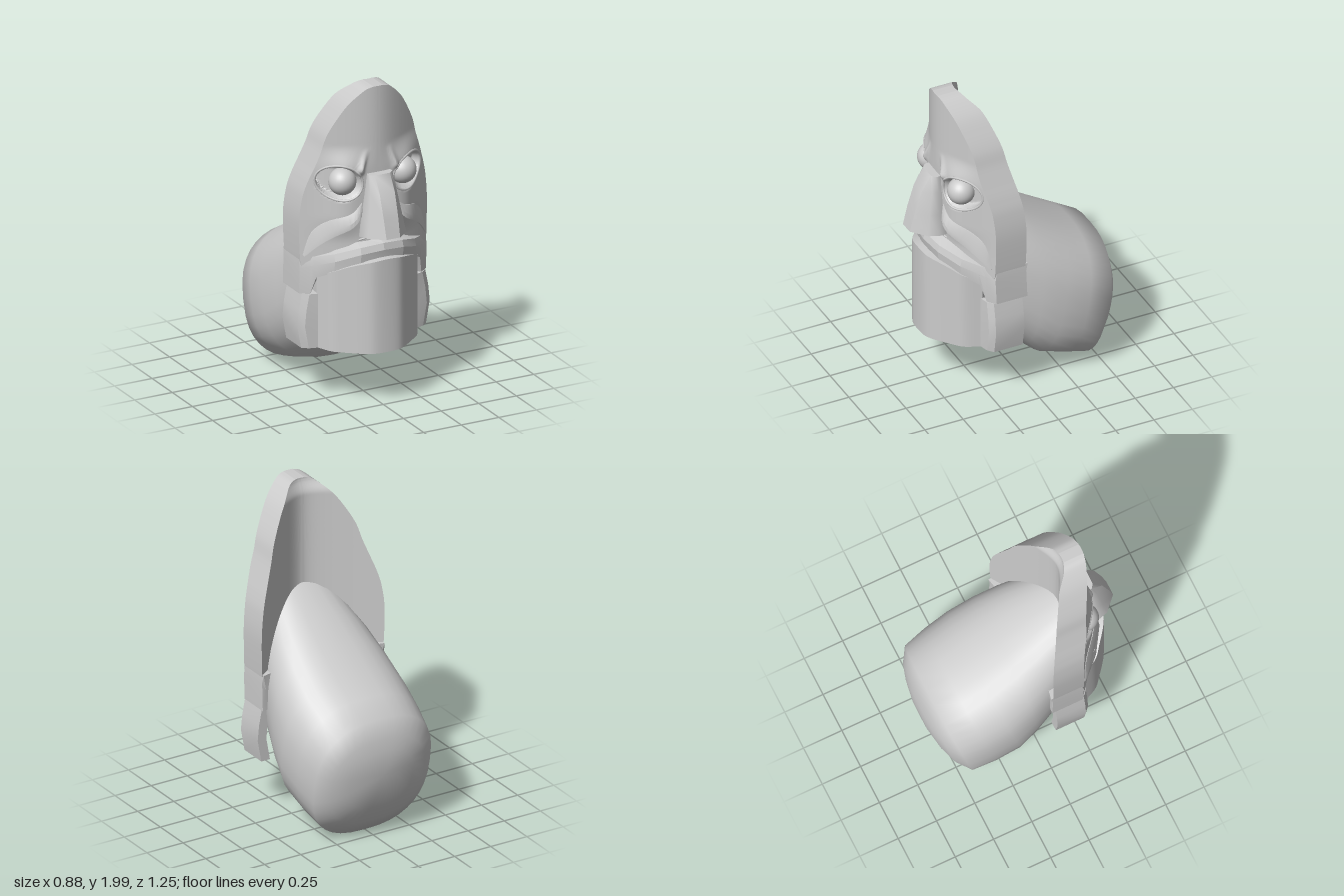
import * as THREE from 'three';
import { toCreasedNormals } from 'three/addons/utils/BufferGeometryUtils.js';

const grey = new THREE.MeshStandardMaterial({ color: 0xcccccc });
const V = (x, y, z) => new THREE.Vector3(x, y, z);
const spline = pts => new THREE.SplineCurve(pts.map(p => new THREE.Vector2(...p)));
const { smoothstep, clamp } = THREE.MathUtils;

// Solid skin over a row of closed rings (equal point counts), capped at both ends.
function loft(rings, crease = 0.5) {
  const n = rings[0].length, tris = [];
  const centre = r => r.reduce((s, p) => s.add(p), V(0, 0, 0)).divideScalar(n);
  for (let i = 0; i + 1 < rings.length; i++) {
    for (let j = 0; j < n; j++) {
      const k = (j + 1) % n, a = rings[i][j], b = rings[i][k], c = rings[i + 1][k], d = rings[i + 1][j];
      tris.push([a, b, c], [a, c, d]);
    }
  }
  const first = rings[0], last = rings[rings.length - 1], cf = centre(first), cl = centre(last);
  for (let j = 0; j < n; j++) {
    const k = (j + 1) % n;
    tris.push([cf, first[k], first[j]], [cl, last[j], last[k]]);
  }
  // Turn all faces outwards, whatever way the rings run
  let volume = 0;
  for (const [a, b, c] of tris) volume += a.dot(b.clone().cross(c));
  const pts = tris.flatMap(([a, b, c]) => (volume > 0 ? [a, b, c] : [a, c, b]));
  return toCreasedNormals(new THREE.BufferGeometry().setFromPoints(pts), crease);
}

const mirrorX = rings => rings.map(r => r.map(p => V(-p.x, p.y, p.z)));

// Plan curves of the mask, bent round the face
const backZ = (x, y) => 0.34 - Math.hypot(0.06, 0.67 * x) + 0.03 * smoothstep(y, 1.9, 2);
const plainZ = x => 0.56 - Math.hypot(0.12, 0.68 * x);

// Face surface without sockets: fuller brow and cheeks, with a frown ridge
function faceZ(x, y) {
  const ax = Math.abs(x);
  const full = 0.04 * Math.exp(-(((ax - 0.21) / 0.11) ** 2)) * (1 - smoothstep(y, 1.48, 1.64)) * smoothstep(y, 1.02, 1.2);
  const t = clamp((1.61 - y) / 0.12, 0, 1);
  const ridge = 0.025 * t * smoothstep(y, 1.44, 1.49) * Math.exp(-(((ax - 0.075 - 0.04 * t) / 0.018) ** 2));
  return plainZ(x) + full + ridge;
}

// Eye socket outline, tilted a little
const eye = { x: 0.225, y: 1.41, rx: 0.125, ry: 0.108 };
function frontZ(x, y) {
  const dx = Math.abs(x) - eye.x;
  const e = Math.hypot(dx / eye.rx, (y - eye.y - 0.1 * dx) / eye.ry);
  return faceZ(x, y) - 0.075 * (1 - smoothstep(e, 0.72, 1.0));
}

function maskGeometry() {
  const outline = spline([
    [0.41, 0.85], [0.42, 0.93], [0.425, 1.15], [0.41, 1.3], [0.385, 1.4], [0.35, 1.5], [0.315, 1.6],
    [0.285, 1.7], [0.235, 1.8], [0.17, 1.9], [0.085, 1.98], [0.03, 2],
  ]);
  const cols = 84;
  const rings = outline.getPoints(100).map(({ x: w, y }) => {
    const front = [], back = [];
    for (let i = 0; i <= cols; i++) {
      const x = w * (2 * i / cols - 1);
      front.push(V(x, y, frontZ(x, y)));
      back.unshift(V(x, y, backZ(x, y)));
    }
    return [...front, ...back];
  });
  return loft(rings, 0.8);
}

// Rounded lobe: each row is [top z, top y, bottom z, bottom y, half width]
function headGeometry() {
  const rows = [
    [0.29, 1.34, 0.23, 0.36, 0.31], [0.06, 1.19, 0.08, 0.28, 0.38], [-0.1, 1.08, -0.02, 0.19, 0.415],
    [-0.28, 0.96, -0.11, 0.11, 0.435], [-0.43, 0.87, -0.27, 0.055, 0.425], [-0.57, 0.79, -0.41, 0.01, 0.4],
    [-0.605, 0.67, -0.5, 0.11, 0.32], [-0.62, 0.6, -0.56, 0.22, 0.22], [-0.625, 0.52, -0.605, 0.36, 0.1],
  ];
  const sides = 36, square = v => Math.sign(v) * Math.abs(v) ** 0.79;
  return loft(rows.map(([tz, ty, bz, by, w]) => Array.from({ length: sides }, (_, i) => {
    const a = i / sides * Math.PI * 2, t = 0.5 + 0.5 * square(Math.cos(a));
    return V(w * square(Math.sin(a)), by + (ty - by) * t, bz + (tz - bz) * t);
  })), 1.4);
}

// Frowning lip band: [x, front z, inner x, inner z, inner top y, crest y, ridge y, bottom y]
function lipGeometry() {
  const half = [
    [0, 0.515, 0, 0.38, 1.065, 1.03, 0.99, 0.94], [0.14, 0.49, 0.12, 0.36, 1.04, 1.015, 0.975, 0.91],
    [0.27, 0.405, 0.22, 0.3, 0.99, 0.97, 0.925, 0.855], [0.345, 0.32, 0.28, 0.24, 0.95, 0.94, 0.89, 0.81],
    [0.37, 0.29, 0.31, 0.2, 0.935, 0.935, 0.88, 0.7], [0.422, 0.25, 0.33, 0.17, 0.93, 0.93, 0.86, 0.7],
    [0.422, 0.05, 0.36, 0.05, 0.93, 0.93, 0.88, 0.7],
  ];
  const all = [...half.slice(1).reverse().map(([x, z, ix, ...r]) => [-x, z, -ix, ...r]), ...half];
  return loft(all.map(([x, z, ix, iz, it, c, r, b]) =>
    [V(x * 0.99, c, z - 0.012), V(x, r, z), V(x, b, z - 0.008), V(ix, b, iz), V(ix, it, iz)]), 0.35);
}

// Curved chin plate, hollow behind, its top following the lip
function chinGeometry() {
  const plan = spline([
    [-0.33, 0.29], [-0.285, 0.39], [-0.22, 0.45], [-0.13, 0.52], [-0.06, 0.548],
    [0.06, 0.548], [0.13, 0.52], [0.22, 0.45], [0.285, 0.39], [0.33, 0.29],
  ]);
  return loft(plan.getPoints(40).map(({ x, y: z }) => {
    const top = 0.945 - 1.05 * x * x, ix = x * 0.88, iz = z - 0.045;
    return [V(x, top, z), V(x, 0.36, z), V(ix, 0.36, iz), V(ix, top, iz)];
  }), 0.5);
}

// Bowed jaw guard at the side of the chin
function jawRings() {
  return [[0.7, 0.41], [0.6, 0.43], [0.5, 0.44], [0.36, 0.415]].map(([y, w]) => [
    V(w - 0.06, y, 0.07), V(w, y, 0.07), V(w, y, 0.255), V(w - 0.035, y, 0.285), V(0.325, y, 0.3), V(0.325, y, 0.2),
  ]);
}

// Wedge nose: [y, side x, side z, corner x, corner z, front x, front z, drop of the underside]
function noseGeometry() {
  const rows = [
    [1.46, 0.08, 0.45, 0.075, 0.47, 0.05, 0.49, 0], [1.36, 0.097, 0.46, 0.087, 0.5, 0.05, 0.55, 0],
    [1.22, 0.122, 0.47, 0.108, 0.525, 0.048, 0.595, 0], [1.1, 0.146, 0.475, 0.128, 0.545, 0.045, 0.625, 0.04],
  ];
  return loft(rows.map(([y, sx, sz, cx, cz, fx, fz, drop]) => {
    const half = [V(fx, y, fz), V(cx, y - drop * 0.15, cz), V(sx, y - drop * 0.3, sz), V(sx * 0.75, y - drop, 0.4)];
    return [...half, ...mirrorX([half])[0].reverse()];
  }), 0.75);
}

// Tapering cheek fold from beside the nose to the corner of the mouth
function foldRings() {
  const upper = spline([[0.11, 1.28], [0.17, 1.22], [0.28, 1.175], [0.365, 1.09], [0.407, 0.945]]);
  const lower = spline([[0.11, 1.21], [0.17, 1.145], [0.265, 1.085], [0.345, 1.015], [0.402, 0.94]]);
  return Array.from({ length: 17 }, (_, i) => {
    const t = i / 16, u = upper.getPoint(t), l = lower.getPoint(t);
    const m = u.clone().lerp(l, 0.6), h = 0.012 + 0.038 * Math.sin(Math.PI * t);
    const at = (p, lift) => V(p.x, p.y, faceZ(p.x, p.y) + lift);
    return [at(u, -0.03), at(u, 0.004), at(m, h * 0.8), at(l, h), at(l, -0.03)];
  });
}

// Thin lid running round the socket
function lidGeometry(side) {
  const pts = Array.from({ length: 28 }, (_, i) => {
    const a = i / 28 * Math.PI * 2, dx = eye.rx * Math.cos(a);
    const x = eye.x + dx, y = eye.y + 0.1 * dx + eye.ry * Math.sin(a);
    return V(side * x, y, faceZ(x, y) - 0.004);
  });
  return new THREE.TubeGeometry(new THREE.CatmullRomCurve3(pts, true), 56, 0.008, 6, true);
}

export function createModel() {
  const model = new THREE.Group();
  model.name = 'maskedHead';
  const add = (name, geometry) => {
    const mesh = new THREE.Mesh(geometry, grey);
    mesh.name = name;
    model.add(mesh);
    return mesh;
  };

  add('faceMask', maskGeometry());
  add('headLobe', headGeometry());
  add('upperLip', lipGeometry());
  add('chinPlate', chinGeometry());
  add('nose', noseGeometry());

  // Paired parts
  for (const side of [1, -1]) {
    const tag = side > 0 ? 'left' : 'right';
    const place = rings => (side > 0 ? rings : mirrorX(rings));
    add(tag + 'JawGuard', loft(place(jawRings()), 0.3));
    add(tag + 'CheekFold', loft(place(foldRings()), 0.5));
    add(tag + 'Eyelid', lidGeometry(side));
    add(tag + 'Eye', new THREE.SphereGeometry(0.083, 28, 18)).position.set(side * 0.2, 1.41, 0.365);
  }

  // Fine wrinkles above the lip
  for (const [w, y] of [[0.12, 1.06], [0.09, 1.08]]) {
    const pts = [-1, -0.5, 0, 0.5, 1].map(u => V(u * w, y - 0.018 * u * u, faceZ(u * w, y) + 0.002));
    add('lipWrinkle', new THREE.TubeGeometry(new THREE.CatmullRomCurve3(pts), 16, 0.006, 6));
  }
  return model;
}
